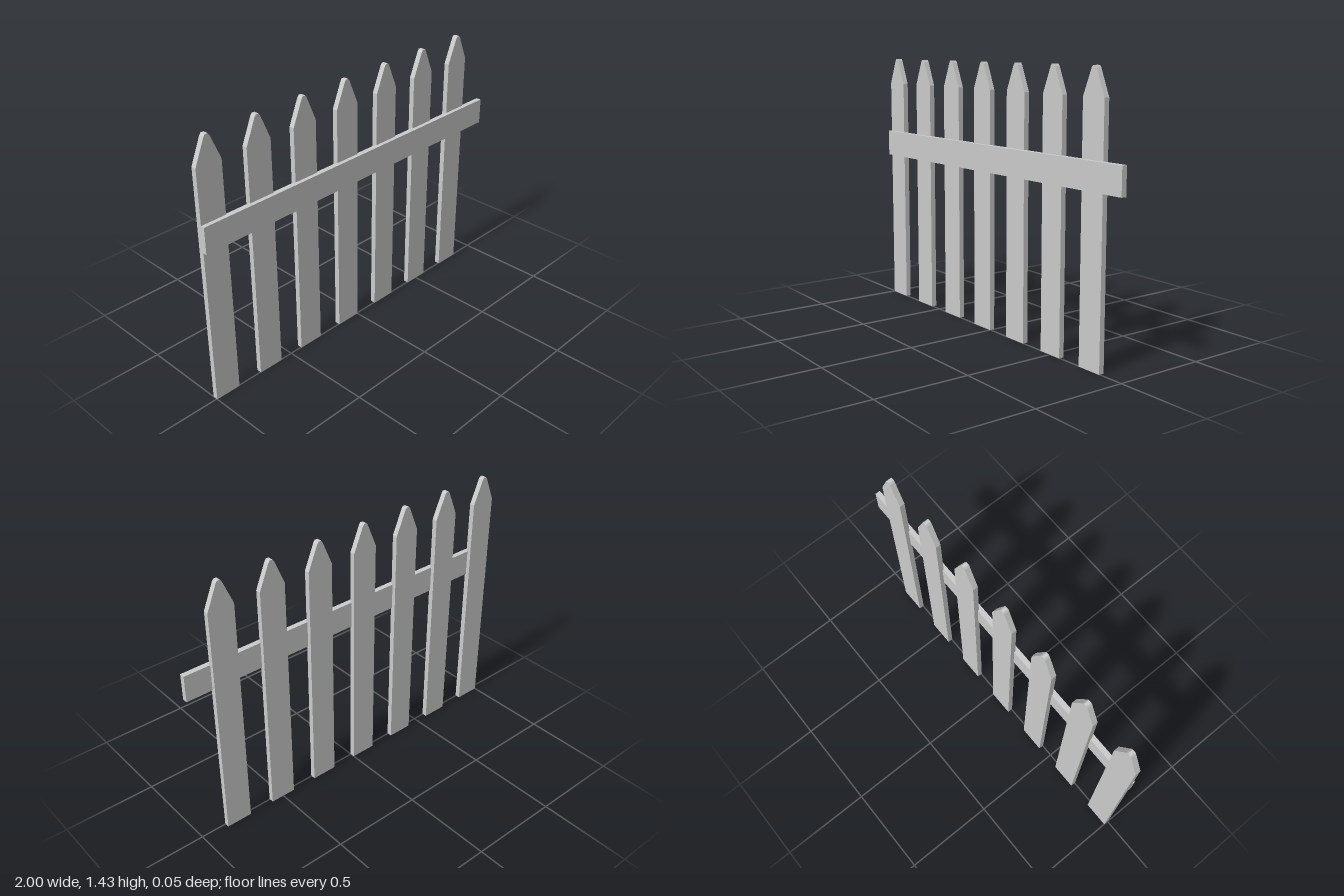
import * as THREE from 'three';

export function createModel() {
  const group = new THREE.Group();
  const material = new THREE.MeshStandardMaterial({ color: 0xcccccc, flatShading: true });

  const count = 7;
  const width = 1 / 7;
  const pitch = 2 / 7;
  const thickness = 0.0286;
  const halfDepth = 0.025;

  // Picket outline: straight sides, sloped shoulders, blunted tip
  const half = [[width / 2, 0], [width / 2, 1.286], [0.016, 1.418], [0.008, 1.4286]];
  const mirrored = half.map(([x, y]) => [-x, y]).reverse();
  const outline = new THREE.Shape([...half, ...mirrored].map(([x, y]) => new THREE.Vector2(x, y)));
  const picketGeometry = new THREE.ExtrudeGeometry(outline, { depth: thickness, bevelEnabled: false });

  // Evenly spaced pickets, starting flush with the right end of the rail
  for (let i = 0; i < count; i++) {
    const picket = new THREE.Mesh(picketGeometry, material);
    picket.name = `picket${i + 1}`;
    picket.position.set(-1 + width / 2 + i * pitch, 0, -halfDepth);
    group.add(picket);
  }

  // Horizontal rail, let slightly into the front of the pickets
  const rail = new THREE.Mesh(new THREE.BoxGeometry(2, width, thickness), material);
  rail.name = 'rail';
  rail.position.set(0, 1 - width / 2, halfDepth - thickness / 2);
  group.add(rail);

  return group;
}
